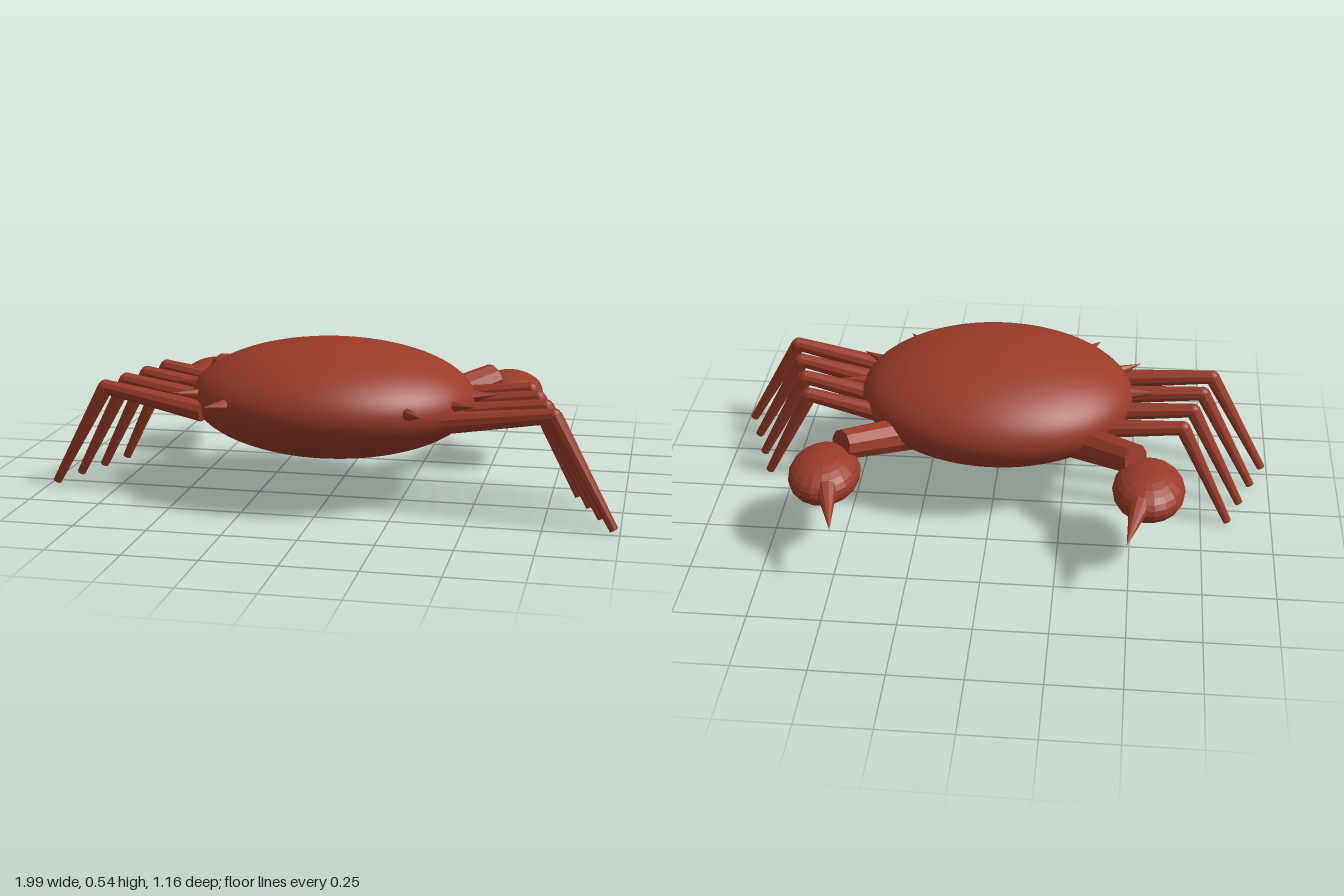
import * as THREE from 'three';

const shell = new THREE.MeshStandardMaterial({ color: 0x9a3b28 });
shell.name = 'rust red shell';

// Gives a geometry hard facets
function faceted(geometry) {
  const flat = geometry.toNonIndexed();
  flat.computeVertexNormals();
  return flat;
}

// Tapered round bar between two points
function bar(name, from, to, r0, r1, sides) {
  const a = new THREE.Vector3(...from), b = new THREE.Vector3(...to);
  const dir = b.clone().sub(a);
  const geo = faceted(new THREE.CylinderGeometry(r1, r0, dir.length(), sides));
  const mesh = new THREE.Mesh(geo, shell);
  mesh.position.copy(a).add(b).multiplyScalar(0.5);
  mesh.quaternion.setFromUnitVectors(new THREE.Vector3(0, 1, 0), dir.normalize());
  mesh.name = name;
  return mesh;
}

export function createModel() {
  const crab = new THREE.Group();
  crab.name = 'crab';

  // Wide oval shell
  const body = new THREE.Mesh(new THREE.SphereGeometry(1, 64, 40), shell);
  body.scale.set(0.49, 0.196, 0.392);
  body.position.set(0, 0.34, 0.188);
  body.name = 'body';
  crab.add(body);

  for (const s of [1, -1]) {
    const side = s > 0 ? 'left' : 'right';

    // Arm, oval claw and pointed pincer
    const claw = new THREE.Group();
    claw.name = side + 'Claw';
    claw.add(bar('arm', [s * 0.3, 0.275, -0.01], [s * 0.508, 0.338, -0.207], 0.064, 0.054, 10));
    const palm = new THREE.Mesh(faceted(new THREE.SphereGeometry(1, 18, 14)), shell);
    palm.scale.set(0.124, 0.08, 0.16);
    palm.position.set(s * 0.556, 0.27, -0.286);
    palm.name = 'palm';
    claw.add(palm);
    claw.add(bar('pincer', [s * 0.528, 0.287, -0.4], [s * 0.489, 0.246, -0.58], 0.038, 0, 10));
    crab.add(claw);

    // Four legs; both sides sweep the same way round
    for (let i = 0; i < 4; i++) {
      const z = 0.376 - i * 0.12;
      const knee = [s * (0.775 - i * 0.036), 0.367, z + s * 0.053];
      const leg = new THREE.Group();
      leg.name = side + 'Leg' + (i + 1);
      leg.add(bar('upperLeg', [s * (0.41 - i * 0.036), 0.31, z], knee, 0.036, 0.025, 10));
      leg.add(bar('lowerLeg', knee, [s * (0.98 - i * 0.045), 0.008, z + s * 0.09], 0.027, 0.015, 10));
      const joint = new THREE.Mesh(new THREE.SphereGeometry(0.025, 12, 8), shell);
      joint.position.set(...knee);
      joint.name = 'knee';
      leg.add(joint);
      crab.add(leg);
    }

    // Spines along the shell edge
    const spines = [
      [[0.3, 0.36, 0.475], [0.36, 0.367, 0.55]],
      [[0.42, 0.36, 0.335], [0.515, 0.372, 0.39]],
      [[0.47, 0.36, 0.188], [0.57, 0.372, 0.186]],
    ];
    for (const [a, b] of spines) {
      crab.add(bar(side + 'Spine', [s * a[0], a[1], a[2]], [s * b[0], b[1], b[2]], 0.024, 0, 8));
    }
  }
  return crab;
}
